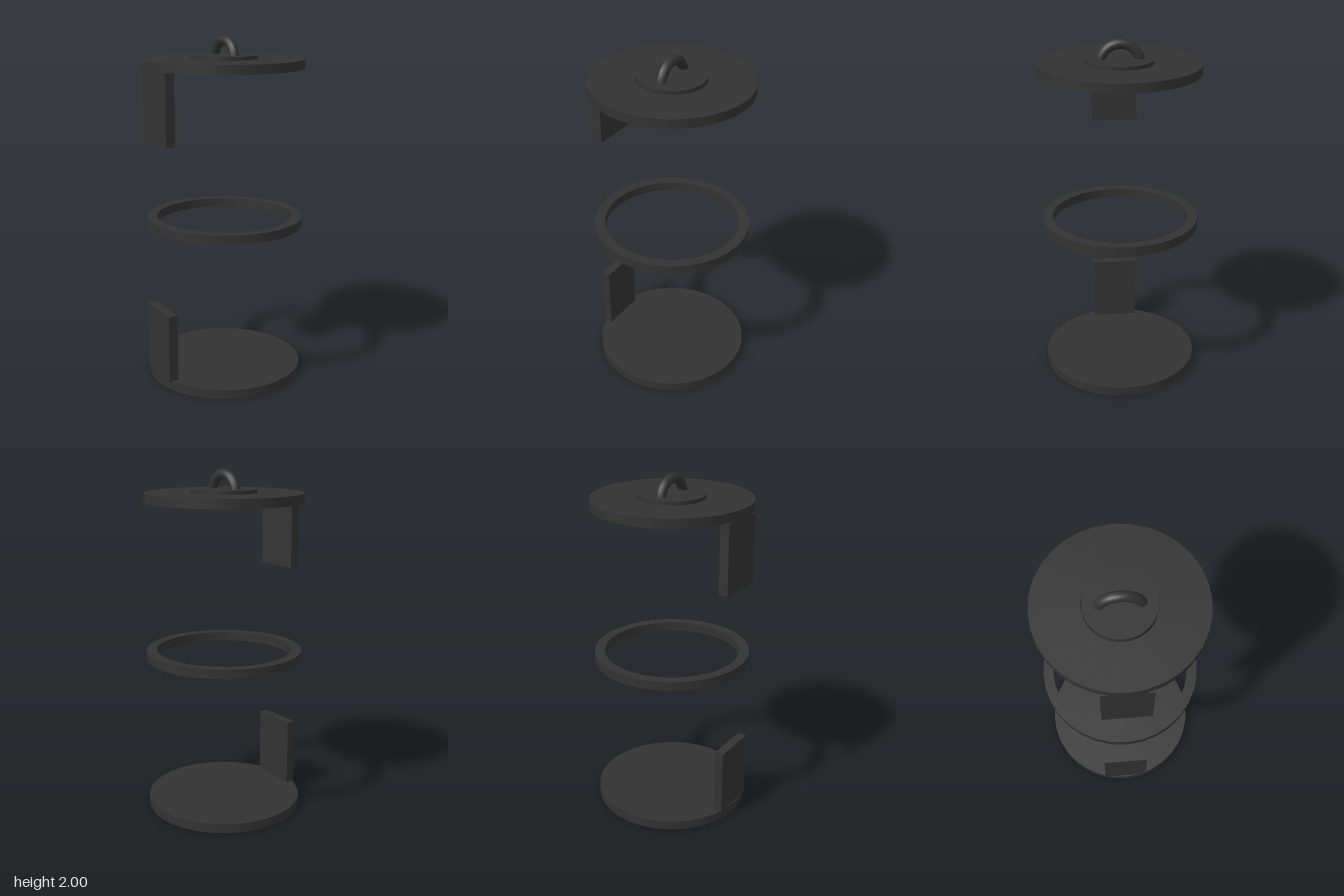
import * as THREE from 'three';
import { toCreasedNormals } from 'three/addons/utils/BufferGeometryUtils.js';

const SIDES = 32;
const RADIUS = 0.455;

export function createModel() {
  const model = new THREE.Group();
  model.name = 'lanternFrame';
  const material = new THREE.MeshStandardMaterial({ color: 0x333333 });

  function add(name, geometry, x, y, z) {
    const mesh = new THREE.Mesh(geometry, material);
    mesh.name = name;
    mesh.position.set(x, y, z);
    model.add(mesh);
    return mesh;
  }

  // Solid disc standing on y0
  function disc(name, radius, y0, y1) {
    return add(name, new THREE.CylinderGeometry(radius, radius, y1 - y0, SIDES), 0, (y0 + y1) / 2, 0);
  }

  // Flat ring with a square cross-section
  function ring(name, inner, outer, y0, y1) {
    const profile = [[inner, 0], [outer, 0], [outer, y1 - y0], [inner, y1 - y0], [inner, 0]]
      .map(([r, y]) => new THREE.Vector2(r, y));
    return add(name, toCreasedNormals(new THREE.LatheGeometry(profile, SIDES), 0.6), 0, y0, 0);
  }

  // Base, middle hoop and top plate with its opening
  disc('basePlate', RADIUS, 0, 0.055);
  ring('middleHoop', 0.395, RADIUS, 0.91, 0.963);
  ring('topPlate', 0.195, RADIUS, 1.818, 1.87);

  // Lid sitting loosely in the opening
  disc('lid', 0.19, 1.85, 1.89);

  // Half-ring handle running front to back
  const handle = add('lidHandle', new THREE.TorusGeometry(0.11, 0.028, 12, 24, Math.PI), 0, 1.862, 0);
  handle.rotation.y = Math.PI / 2;

  // Upright hinge plates on the right-hand side
  for (const [name, y0, y1] of [['lowerBracket', 0.05, 0.45], ['upperBracket', 1.42, 1.82]]) {
    add(name, new THREE.BoxGeometry(0.054, y1 - y0, 0.27), -0.418, (y0 + y1) / 2, 0);
  }

  return model;
}
